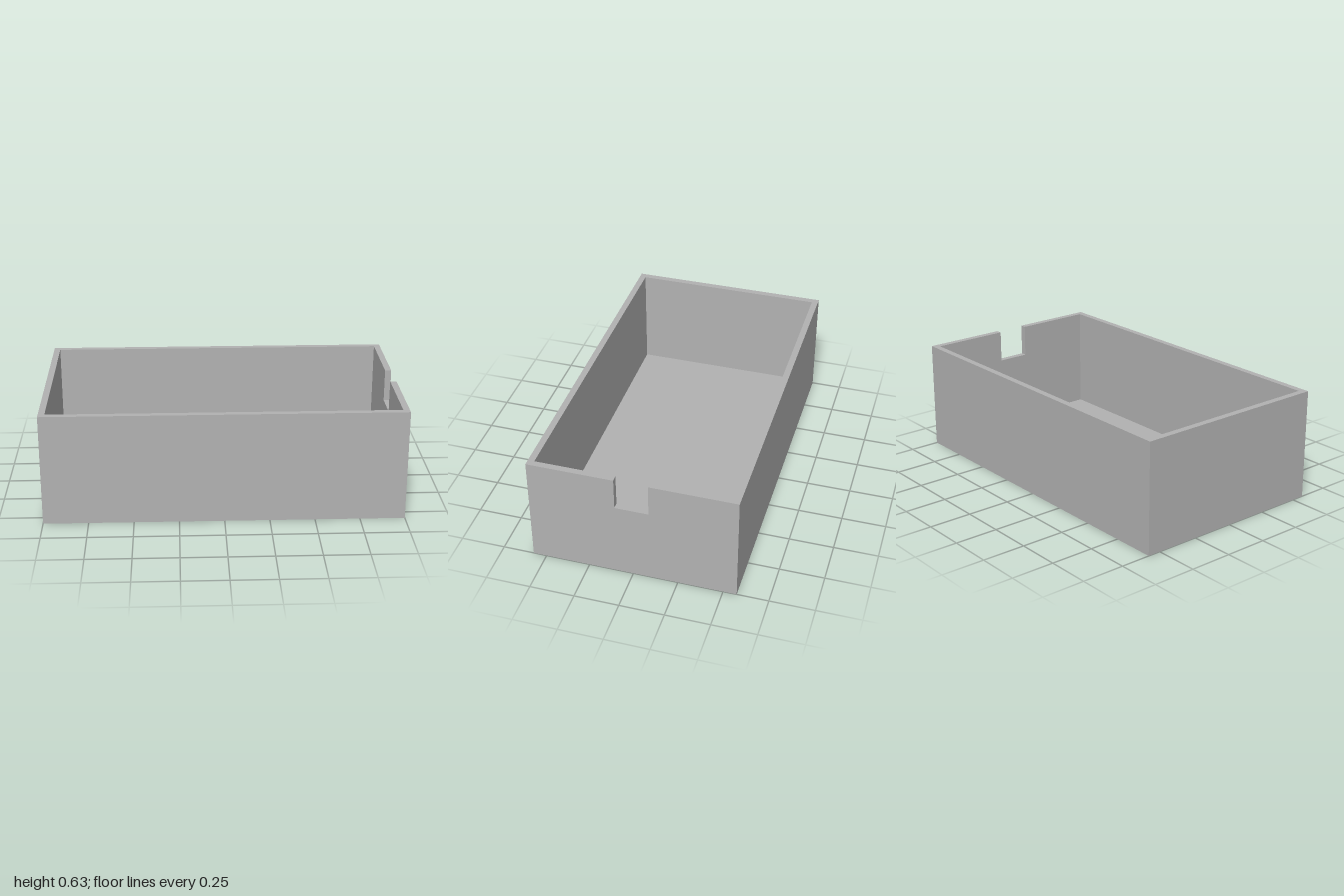
import * as THREE from 'three';
import { mergeGeometries } from 'three/addons/utils/BufferGeometryUtils.js';

const X = 1, Z = 0.575, H = 0.63;   // outer half length, half width, height
const T = 0.036;                    // wall and floor thickness
const N = 0.093, SILL = 0.445;      // cable notch half width and bottom height
const IX = X - T, IZ = Z - T;
const Q = Math.PI / 2;

// Flat panel from an outline; it faces +z until turned, then moved into place
function panel(points, rx, ry, x, y, z) {
  const shape = new THREE.Shape(points.map(([a, b]) => new THREE.Vector2(a, b)));
  return new THREE.ShapeGeometry(shape).rotateX(rx).rotateY(ry).translate(x, y, z);
}

const rect = (a0, a1, b0, b1) => [[a0, b0], [a1, b0], [a1, b1], [a0, b1]];

// End wall outline with the open notch in its top edge
const notched = (half, base) => [
  [-half, base], [half, base], [half, H], [N, H],
  [N, SILL], [-N, SILL], [-N, H], [-half, H],
];

export function createModel() {
  const grey = new THREE.MeshStandardMaterial({ color: 0xb2b2b2 });
  grey.name = 'grey';

  const faces = [
    // underside and inner floor
    panel(rect(-X, X, -Z, Z), Q, 0, 0, 0, 0),
    panel(rect(-IX, IX, -IZ, IZ), -Q, 0, 0, T, 0),
    // top rim, interrupted at the notch
    panel([
      [X, N], [X, Z], [-X, Z], [-X, -Z], [X, -Z], [X, -N],
      [IX, -N], [IX, -IZ], [-IX, -IZ], [-IX, IZ], [IX, IZ], [IX, N],
    ], -Q, 0, 0, H, 0),
    // closed end wall, outside and inside
    panel(rect(-Z, Z, 0, H), 0, -Q, -X, 0, 0),
    panel(rect(-IZ, IZ, T, H), 0, Q, -IX, 0, 0),
    // notched end wall, outside and inside
    panel(notched(Z, 0), 0, Q, X, 0, 0),
    panel(notched(IZ, T), 0, -Q, IX, 0, 0),
    // notch sill
    panel(rect(IX, X, -N, N), -Q, 0, 0, SILL, 0),
  ];

  for (const s of [1, -1]) {
    const out = s > 0 ? 0 : Math.PI, back = Math.PI - out;
    // long walls, outside and inside
    faces.push(panel(rect(-X, X, 0, H), 0, out, 0, 0, s * Z));
    faces.push(panel(rect(-IX, IX, T, H), 0, back, 0, 0, s * IZ));
    // notch cheeks, facing each other
    faces.push(panel(rect(-T / 2, T / 2, SILL, H), 0, back, X - T / 2, 0, s * N));
  }

  const box = new THREE.Mesh(mergeGeometries(faces), grey);
  box.name = 'openBox';

  const group = new THREE.Group();
  group.name = 'notchedTray';
  group.add(box);
  return group;
}
